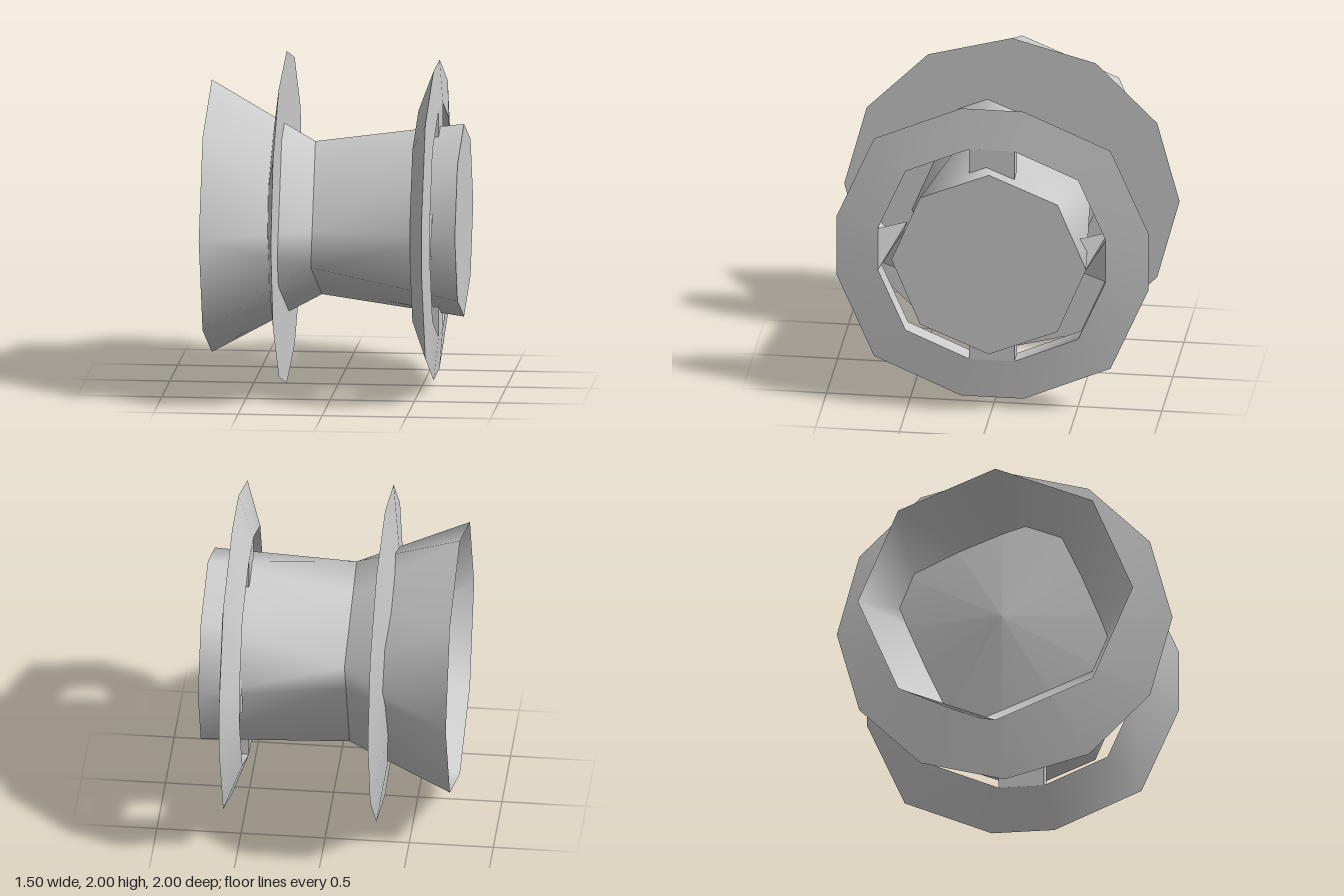
import * as THREE from 'three';

const material = new THREE.MeshStandardMaterial({ color: 0xcccccc });
const openMaterial = new THREE.MeshStandardMaterial({ color: 0xcccccc, side: THREE.DoubleSide });

// Point on a circle around the x axis; the angle runs from +z towards +y
const ringPoint = (x, r, deg) => {
  const a = THREE.MathUtils.degToRad(deg);
  return [x, r * Math.sin(a), r * Math.cos(a)];
};

function smoothGeometry(points, index) {
  const geo = new THREE.BufferGeometry();
  geo.setAttribute('position', new THREE.Float32BufferAttribute(points.flat(), 3));
  geo.setIndex(index);
  geo.computeVertexNormals();
  return geo;
}

// Loft between two closed loops with the same number of points
function band(a, b) {
  const n = a.length, index = [];
  for (let i = 0; i < n; i++) {
    const j = (i + 1) % n;
    index.push(i, j, n + j, i, n + j, n + i);
  }
  return smoothGeometry([...a, ...b], index);
}

// Octagonal end of the hub or horn
const octagon = (x, r) => Array.from({ length: 8 }, (_, j) => ringPoint(x, r, 45 * j));

// Tilted square waist: four corners and a point on each side
const waist = () => Array.from({ length: 8 }, (_, j) =>
  j % 2 ? ringPoint(-0.115, 0.541, 45 * j + 22.5) : ringPoint(-0.115, 0.414, 45 * j));

// Twelve-sided loop with a short flat side on each axis
function flangeLoop(x, scale) {
  const loop = [];
  for (let k = 0; k < 4; k++) {
    for (const [z0, y0] of [[0.93, 0.187], [0.705, 0.705], [0.187, 0.93]]) {
      let z = z0 * scale, y = y0 * scale;
      for (let i = 0; i < k; i++) [z, y] = [-y, z];
      loop.push([x, y, z]);
    }
  }
  return loop;
}

export function createModel() {
  const model = new THREE.Group();
  const spool = new THREE.Group();
  spool.name = 'spool';
  spool.position.y = 1;
  model.add(spool);
  const add = (name, geo, mat = material) => {
    const mesh = new THREE.Mesh(geo, mat);
    mesh.name = name;
    spool.add(mesh);
    return mesh;
  };

  // Hub with closed octagonal end, and open flared horn
  add('hub', band(waist(), octagon(0.748, 0.58)), openMaterial);
  const horn = band(waist(), octagon(-0.75, 0.82));
  horn.setIndex([...horn.index.array].reverse());
  horn.computeVertexNormals();
  add('horn', horn, openMaterial);
  const cap = new THREE.CircleGeometry(0.58, 8);
  cap.rotateY(Math.PI / 2).translate(0.748, 0, 0);
  add('hubEnd', cap);

  // Solid plate, flat towards the hub and shallowly conical towards the horn
  const plate = new THREE.ConeGeometry(1, 0.14, 12);
  plate.rotateZ(Math.PI / 2).translate(-0.375, 0, 0);
  add('plate', plate);

  // Flange ring with a triangular section
  const outer = flangeLoop(0.585, 1);
  const innerFront = flangeLoop(0.61, 0.73);
  const innerBack = flangeLoop(0.49, 0.73);
  add('flangeFront', band(innerFront, outer));
  add('flangeBack', band(outer, innerBack));
  add('flangeInside', band(innerBack, innerFront));

  // Straight spokes above and below the hub
  for (const side of [1, -1]) {
    const spoke = new THREE.BoxGeometry(0.12, 0.18, 0.27);
    spoke.translate(0.55, side * 0.59, 0);
    add('uprightSpoke', spoke);
  }

  // Spokes at front and back, twisted half a turn between flange and hub
  const corners = [[0.61, 0.135], [0.61, -0.135], [0.49, -0.135], [0.49, 0.135]];
  const flangeEnd = corners.map(([x, y]) => [x, y, 0.68]);
  const hubEnd = corners.map((_, i) => [...corners[(i + 2) % 4], 0.52]);
  const twisted = band(flangeEnd, hubEnd).toNonIndexed();
  twisted.computeVertexNormals();
  add('frontSpoke', twisted, openMaterial);
  add('backSpoke', twisted, openMaterial).rotation.x = Math.PI;

  return model;
}
